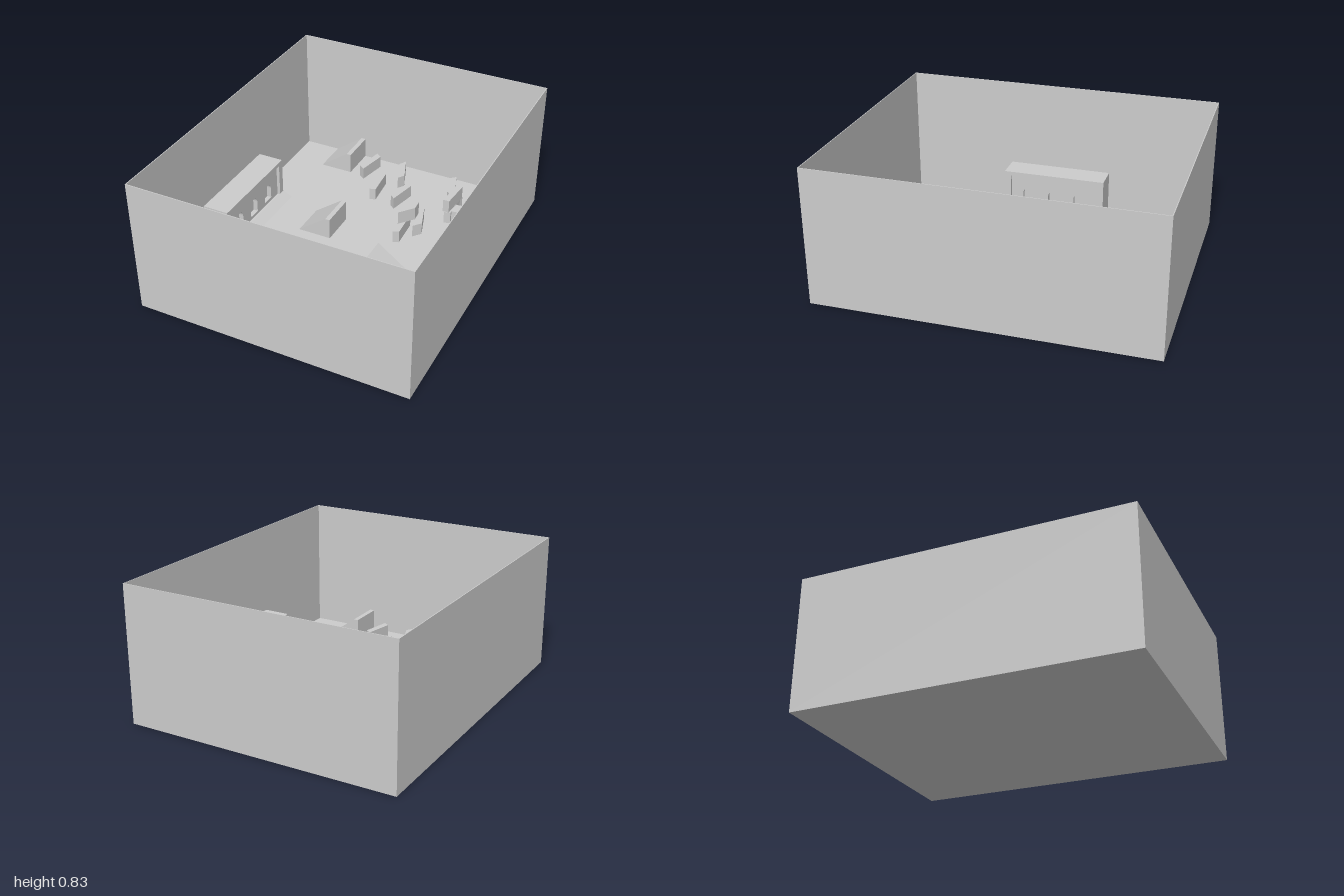
import * as THREE from 'three';

const material = new THREE.MeshStandardMaterial({ color: 0xcccccc, flatShading: true, side: THREE.DoubleSide });
const W = 0.83, D = 1, H = 0.826, T = 0.005;

function add(parent, name, geometry) {
  const mesh = new THREE.Mesh(geometry, material);
  mesh.name = name;
  parent.add(mesh);
  return mesh;
}

// Box given by its lower and upper corners
function box(parent, name, [x0, y0, z0], [x1, y1, z1]) {
  const g = new THREE.BoxGeometry(x1 - x0, y1 - y0, z1 - z0);
  return add(parent, name, g.translate((x0 + x1) / 2, (y0 + y1) / 2, (z0 + z1) / 2));
}

const polygon = (points) => new THREE.Shape(points.map(([x, y]) => new THREE.Vector2(x, y)));
const extrude = (shape, depth) =>
  new THREE.ExtrudeGeometry(shape, { depth, bevelEnabled: false, curveSegments: 10 });

// Side profile in x and y, extruded from z0 to z1
function profile(parent, name, points, z0, z1) {
  return add(parent, name, extrude(polygon(points), z1 - z0).translate(0, 0, z0));
}

// Slanted plank standing on edge: floor corner, long side, short side, base height
function plank(parent, [x, z, lx, lz, sx, sz, base = 0]) {
  const shape = polygon([[x, -z], [x + lx, -z - lz], [x + lx + sx, -z - lz - sz], [x + sx, -z - sz]]);
  add(parent, 'plank', extrude(shape, 0.085).rotateX(-Math.PI / 2).translate(0, base, 0));
}

// Ramp rising towards +x, with a narrow flat top
function ramp(parent, x, z0, z1) {
  profile(parent, 'ramp', [[x, 0], [x + 0.22, 0], [x + 0.22, 0.14], [x + 0.19, 0.14]], z0, z1);
}

// Block against the side wall with a recessed, arched front
function wallBlock(parent) {
  const block = new THREE.Group();
  block.name = 'wallBlock';
  box(block, 'blockBody', [-W + T, 0, -0.33], [-0.71, 0.27, 0.33]);

  const frame = polygon([[-0.33, 0], [0.33, 0], [0.33, 0.27], [-0.33, 0.27]]);
  frame.holes.push(polygon([[-0.29, 0.03], [-0.29, 0.245], [0.29, 0.245], [0.29, 0.03]]));
  add(block, 'blockFrame', extrude(frame, 0.05).rotateY(Math.PI / 2).translate(-0.71, 0, 0));

  const panel = polygon([[-0.29, 0.03], [0.29, 0.03], [0.29, 0.245], [-0.29, 0.245]]);
  for (const z of [-0.17, 0, 0.17]) {
    const arch = new THREE.Path();
    arch.moveTo(z - 0.04, 0.05);
    arch.lineTo(z + 0.04, 0.05);
    arch.lineTo(z + 0.04, 0.12);
    arch.absarc(z, 0.12, 0.04, 0, Math.PI, false);
    arch.closePath();
    panel.holes.push(arch);
  }
  add(block, 'archedPanel', extrude(panel, 0.03).rotateY(Math.PI / 2).translate(-0.71, 0, 0));

  // Low sloping apron along the foot
  profile(block, 'apron', [[-0.66, 0], [-0.59, 0], [-0.66, 0.035]], -0.33, 0.33);
  parent.add(block);
}

// x, z, long side x and z, short side x and z, base height
const planks = [
  [-0.27, -0.94, -0.04, 0.185, 0.037, 0.026],
  [-0.148, -0.73, 0.016, 0.197, 0.037, -0.01],
  [-0.082, -0.89, 0.06, 0.16, 0.028, -0.045],
  [0.063, -0.707, -0.042, 0.18, 0.032, 0.026],
  [0.286, -0.88, 0.058, 0.17, 0.033, -0.03],
  [0.344, -0.786, 0.095, 0.075, -0.015, 0.06],
  [0.392, -0.7, 0.005, 0.197, 0.04, -0.01],
  [0.4, -0.7, -0.015, 0.19, 0.04, 0, 0.085],
  [0.435, -0.61, 0.055, -0.01, 0, 0.08],
  [0.497, -0.637, 0.063, 0.147, -0.031, 0.052],
  [0.49, -0.78, 0, 0.08, 0.105, 0],
  [0.228, -0.44, 0.052, 0.16, 0.042, -0.05],
  [0.185, -0.33, 0.075, -0.09, 0.005, 0.07, 0.085],
  [0.185, -0.368, 0.01, 0.195, 0.037, -0.015],
];

export function createModel() {
  const model = new THREE.Group();
  model.name = 'walledArena';

  // Open-topped shell
  box(model, 'floor', [-W, 0, -D], [W, T, D]);
  for (const s of [-1, 1]) {
    const x = s * (W - T / 2), z = s * (D - T / 2);
    box(model, 'sideWall', [x - T / 2, T, -D], [x + T / 2, H, D]);
    box(model, 'endWall', [-W + T, T, z - T / 2], [W - T, H, z + T / 2]);
  }

  // Each half of the arena is the other turned half a circle
  for (let i = 0; i < 2; i++) {
    const half = new THREE.Group();
    half.name = i ? 'frontHalf' : 'backHalf';
    half.rotation.y = i * Math.PI;
    wallBlock(half);
    ramp(half, -0.605, -D + T, -0.765);
    ramp(half, -0.387, -0.262, -0.037);
    planks.forEach((p) => plank(half, p));
    model.add(half);
  }
  return model;
}
